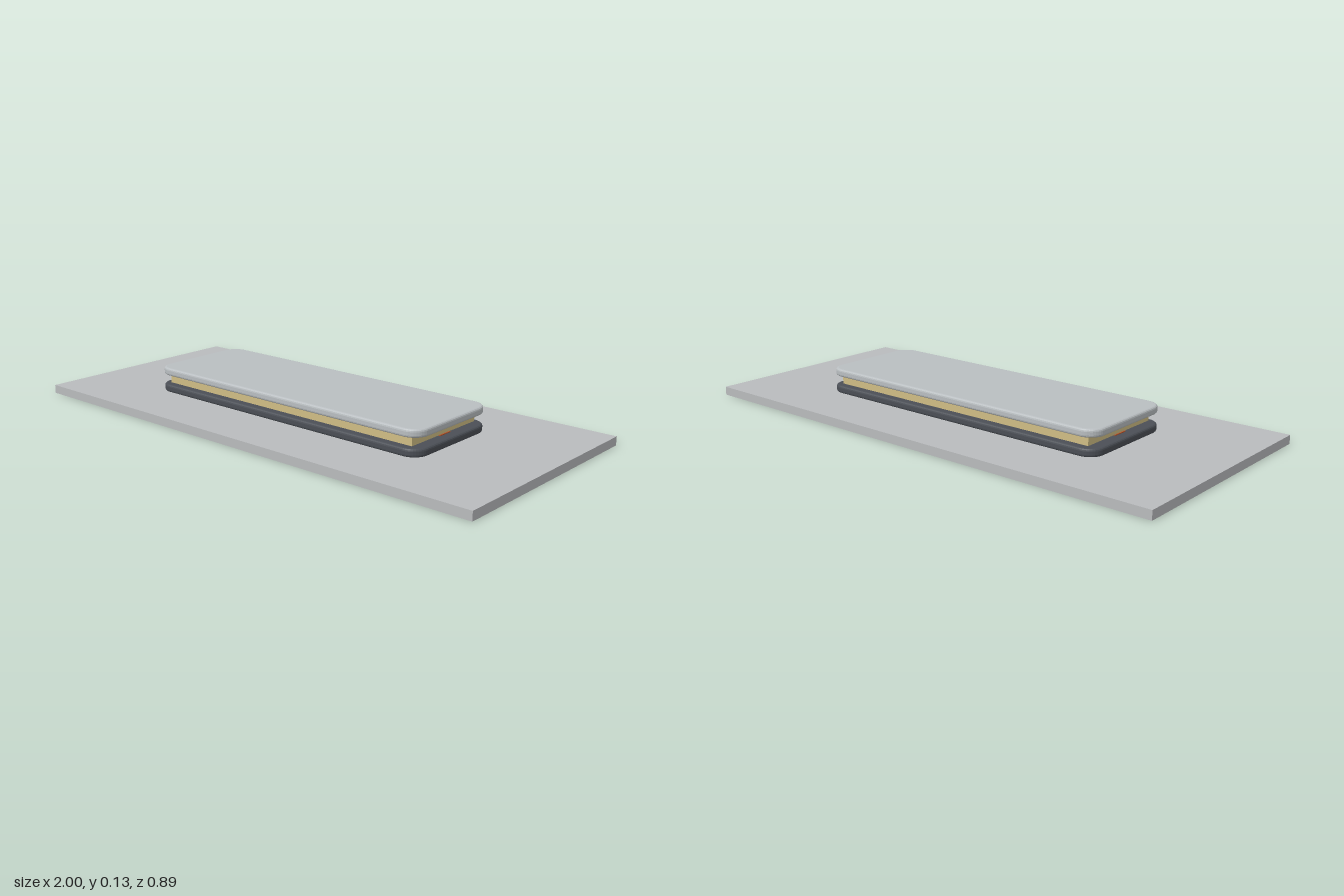
import * as THREE from 'three';

const paint = (name, color) => {
  const m = new THREE.MeshStandardMaterial({ color });
  m.name = name;
  return m;
};

// Rounded rectangle outline, given half sizes and corner radius
function roundedRect(Target, hx, hz, r) {
  const s = new Target();
  s.absarc(hx - r, hz - r, r, 0, Math.PI / 2);
  s.absarc(-hx + r, hz - r, r, Math.PI / 2, Math.PI);
  s.absarc(-hx + r, -hz + r, r, Math.PI, Math.PI * 1.5);
  s.absarc(hx - r, -hz + r, r, Math.PI * 1.5, Math.PI * 2);
  s.closePath();
  return s;
}

// Flat-lying extrusion between two heights, with optional rounded edges
function slab(shape, y0, y1, bevel = 0) {
  const geo = new THREE.ExtrudeGeometry(shape, {
    depth: y1 - y0 - 2 * bevel,
    bevelEnabled: bevel > 0,
    bevelThickness: bevel,
    bevelSize: bevel,
    bevelSegments: 3,
    curveSegments: 5,
  });
  geo.rotateX(-Math.PI / 2);
  geo.translate(0, y0 + bevel, 0);
  return geo;
}

export function createModel() {
  const grey = paint('light grey', 0xb9bbbd);
  const silver = paint('silver', 0xb9bec1);
  const dark = paint('dark grey', 0x4b4f56);
  const tan = paint('tan', 0xcfbd84);
  const copper = paint('copper', 0xb4562c);

  const model = new THREE.Group();
  const add = (name, geo, mat) => {
    const mesh = new THREE.Mesh(geo, mat);
    mesh.name = name;
    model.add(mesh);
    return mesh;
  };

  // Base plate
  add('basePlate', new THREE.BoxGeometry(2, 0.033, 0.894), grey).position.y = 0.0165;

  // Lower and upper shells with softened rims
  const bevel = 0.009;
  const shell = () => roundedRect(THREE.Shape, 0.633 - bevel, 0.212 - bevel, 0.06 - bevel);
  add('lowerShell', slab(shell(), 0.033, 0.063, bevel), dark);
  add('upperShell', slab(shell(), 0.1, 0.13, bevel), silver);

  // Core block between the shells
  add('core', new THREE.BoxGeometry(1.18, 0.032, 0.366), tan).position.y = 0.081;

  // Thin copper loop above the core and strip beneath it
  const loop = roundedRect(THREE.Shape, 0.54, 0.147, 0.03);
  loop.holes.push(roundedRect(THREE.Path, 0.5, 0.107, 0.02));
  add('copperLoop', slab(loop, 0.097, 0.1), copper);
  add('copperStrip', new THREE.BoxGeometry(1.19, 0.003, 0.06), copper).position.y = 0.0645;

  return model;
}
